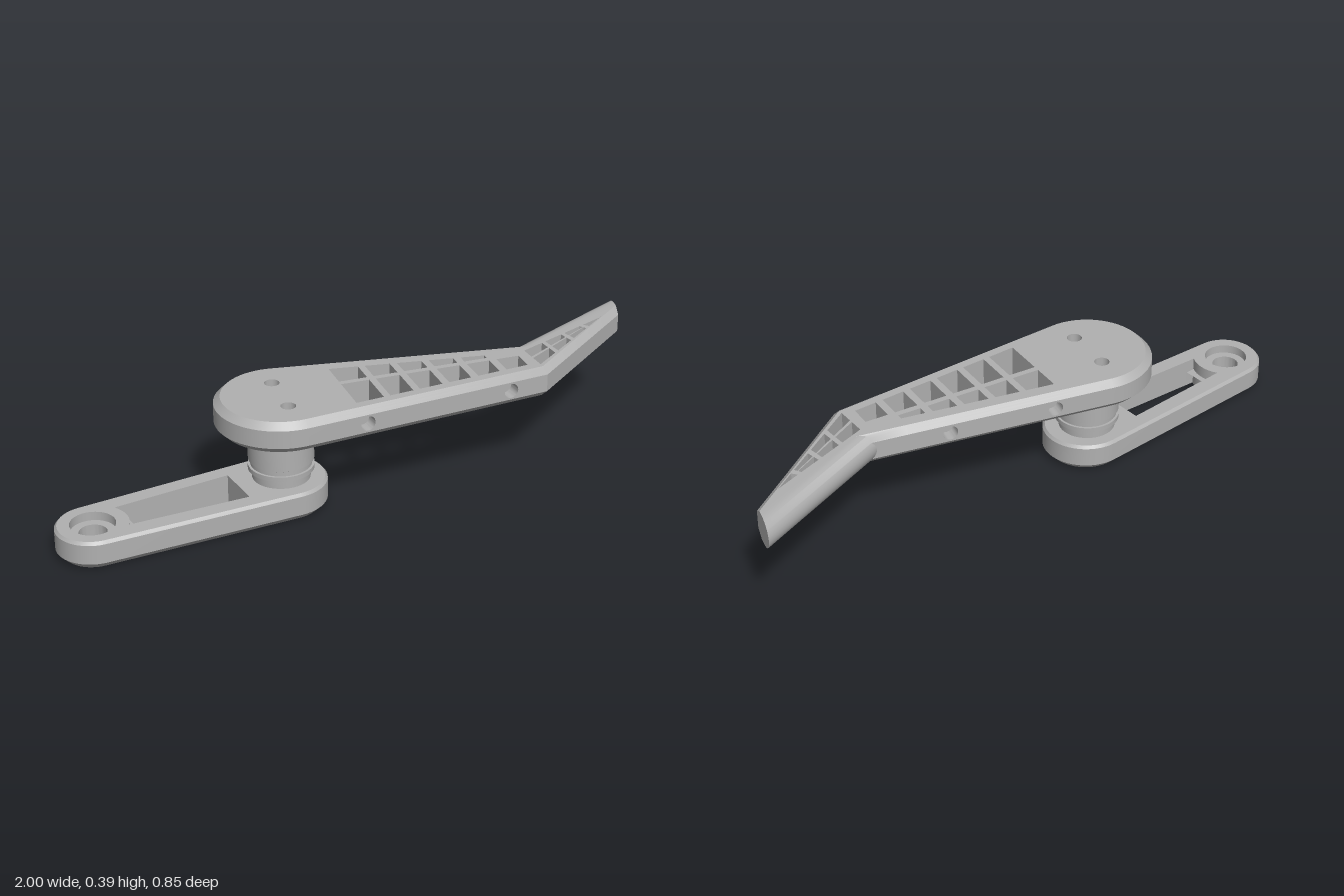
import * as THREE from 'three';
import { toCreasedNormals } from 'three/addons/utils/BufferGeometryUtils.js';

// Plan coordinates: (x, v) with v = -z; outlines run counter-clockwise seen from above.
const V = (x, z) => new THREE.Vector2(x, -z);
const to3 = (p, y) => new THREE.Vector3(p.x, y, -p.y);

function arc(c, r, a0, a1, n) {
  return Array.from({ length: n + 1 }, (_, i) => {
    const a = a0 + (a1 - a0) * i / n;
    return new THREE.Vector2(c.x + r * Math.cos(a), c.y + r * Math.sin(a));
  });
}
const circle = (c, r, n = 24) => arc(c, r, 0, Math.PI * 2 * (n - 1) / n, n - 1);

// Moves each edge inward by its own distance
function inset(pts, dist) {
  const n = pts.length;
  const normal = (i) => {
    const d = pts[(i + 1) % n].clone().sub(pts[i]).normalize();
    return new THREE.Vector2(d.y, -d.x);
  };
  return pts.map((p, i) => {
    const h = (i + n - 1) % n, a = normal(h), b = normal(i), da = -dist(h), db = -dist(i);
    const det = a.cross(b);
    if (Math.abs(det) < 1e-4) return p.clone().addScaledVector(b, db);
    return new THREE.Vector2(p.x + (da * b.y - db * a.y) / det, p.y + (a.x * db - b.x * da) / det);
  });
}

function strip(tris, a, b, skip = () => false) {
  a.forEach((p, i) => {
    if (skip(i)) return;
    const j = (i + 1) % a.length;
    tris.push(p, a[j], b[j], p, b[j], b[i]);
  });
}

function cap(tris, contour, holes, map, flip = false) {
  const all = [contour, ...holes].flat();
  for (const [a, b, c] of THREE.ShapeUtils.triangulateShape(contour, holes)) {
    const t = [a, b, c].map((k) => map(all[k]));
    tris.push(...(flip ? t.reverse() : t));
  }
}

// Solid plate: levels = [{ y, d(edge) }], through holes, and bored side walls {edge, holes}
function plate(outline, levels, holes = [], bored = [], wallY = [0, 0], boreR = 0.025) {
  const tris = [];
  const rings = levels.map((l) => inset(outline, l.d));
  const lo = levels[0].y, hi = levels[levels.length - 1].y;
  for (let k = 0; k + 1 < levels.length; k++) {
    const mid = (levels[k].y + levels[k + 1].y) / 2;
    const inWall = mid > wallY[0] && mid < wallY[1];
    strip(tris, rings[k].map((p) => to3(p, levels[k].y)), rings[k + 1].map((p) => to3(p, levels[k + 1].y)),
      (i) => inWall && bored.some((b) => b.edge === i));
  }
  cap(tris, rings[0], holes, (p) => to3(p, lo), true);
  cap(tris, rings[rings.length - 1], holes, (p) => to3(p, hi));
  for (const h of holes) {
    const r = THREE.ShapeUtils.isClockWise(h) ? h : [...h].reverse();
    strip(tris, r.map((p) => to3(p, lo)), r.map((p) => to3(p, hi)));
  }
  // flat side walls with blind screw holes
  for (const { edge, at } of bored) {
    const p = outline[edge], q = outline[(edge + 1) % outline.length];
    const d = q.clone().sub(p), len = d.length();
    d.normalize();
    const m = new THREE.Matrix4().makeBasis(new THREE.Vector3(d.x, 0, -d.y),
      new THREE.Vector3(0, 1, 0), new THREE.Vector3(d.y, 0, d.x)).setPosition(to3(p, 0));
    const put = (z) => (u) => new THREE.Vector3(u.x, u.y, z).applyMatrix4(m);
    const [y0, y1] = wallY;
    const rect = [[0, y0], [len, y0], [len, y1], [0, y1]].map((a) => new THREE.Vector2(...a));
    const bores = at.map((x) => circle(new THREE.Vector2((x - p.x) / d.x, (y0 + y1) / 2), boreR));
    cap(tris, rect, bores, put(0));
    for (const b of bores) {
      const r = [...b].reverse();
      strip(tris, r.map(put(-0.045)), r.map(put(0)));
      cap(tris, b, [], put(-0.045));
    }
  }
  const g = new THREE.BufferGeometry().setFromPoints(tris);
  return toCreasedNormals(g, 0.5);
}

// Cells of the lattice in the lever
function latticeCells() {
  const cells = [];
  const top = () => -0.04;
  const mid = (x) => 0.067 - 0.149 * (x + 0.067);
  const low = (x) => 0.21 - 0.256 * (x + 0.045);
  const quad = (l, r, f, g, a, b) => {
    const pt = (x, fn, o) => { const z = fn(x) + o; return V(x + 0.16 * (z + 0.04), z); };
    cells.push([pt(l, g, b), pt(r, g, b), pt(r, f, a), pt(l, f, a)]);
  };
  for (let i = 0; i < 6; i++) {
    const l = i ? -0.057 + 0.107 * i : -0.07, r = 0.027 + 0.106 * i;
    if (i < 5) quad(l, r, top, mid, 0, -0.01);
    quad(l, r, mid, low, 0.01, 0);
  }
  // tapering cells beside the finger grip
  const U = [V(0.59, -0.05), V(0.915, -0.255)], L = [V(0.615, 0.06), V(0.93, -0.27)];
  const pt = (t, w) => U[0].clone().lerp(U[1], t).lerp(L[0].clone().lerp(L[1], t), w);
  for (let i = 0; i < 4; i++) {
    const a = i / 4 + (i ? 0.022 : 0), b = (i + 1) / 4 - (i < 3 ? 0.022 : 0);
    const rows = i < 3 ? [[0, 0.45], [0.55, 1]] : [[0, 1]];
    for (const [u, w] of rows) cells.push([pt(a, w), pt(b, w), pt(b, u), pt(a, u)]);
  }
  return cells;
}

function lever() {
  const y0 = 0.285, y1 = 0.39, c = 0.022, r = (y1 - y0) / 2, yc = (y0 + y1) / 2;
  const tilt = 0.26, hub = V(-0.255, 0.11);
  const outline = [V(0.63, 0.095), V(1, -0.31), V(1, -0.43), V(0.555, -0.103), V(0.45, -0.103),
    ...arc(hub, 0.213, Math.PI / 2, Math.PI * 1.5 + tilt, 36)];
  const ys = [y0 + c, y1 - c];
  for (let i = 0; i <= 14; i++) ys.push(yc - r * Math.cos(Math.PI * i / 14));
  ys.sort((a, b) => a - b);
  // edge 1 is the cut tip, edge 2 the rounded grip, the rest are chamfered
  const levels = ys.map((y) => ({
    y,
    d: (e) => e === 1 ? 0
      : e === 2 ? r - Math.sqrt(Math.max(0, r * r - (y - yc) ** 2))
        : Math.max(0, y0 + c - y, y - (y1 - c)),
  }));
  const screws = [V(-0.267, 0.024), V(-0.243, 0.195)].map((p) => circle(p, 0.025));
  const bored = [{ edge: 4, at: [0.31, -0.05] }, { edge: outline.length - 1, at: [0, 0.5] }];
  return plate(outline, levels, [...screws, ...latticeCells()], bored, [y0 + c, y1 - c]);
}

export function createModel() {
  const group = new THREE.Group();
  const grey = new THREE.MeshStandardMaterial({ color: 0xb0b0b0 });
  grey.name = 'metal grey';
  const add = (name, geometry, x = 0, z = 0) => {
    const m = new THREE.Mesh(geometry, grey);
    m.name = name;
    m.position.set(x, 0, z);
    group.add(m);
  };
  const lathe = (pts) => toCreasedNormals(
    new THREE.LatheGeometry(pts.map((p) => new THREE.Vector2(...p)), 48), 0.5);

  add('lever', lever());

  // Lower link with slot, eye and screw holes
  const eye = V(-0.88, 0.305), pivot = V(-0.25, 0.11), r1 = 0.12, r2 = 0.145;
  const axis = pivot.clone().sub(eye), len = axis.length(), th = axis.angle();
  const al = Math.asin((r2 - r1) / len), q = Math.PI / 2;
  const outline = [...arc(pivot, r2, th - q - al, th + q + al, 28), ...arc(eye, r1, th + q + al, th + 3 * q - al, 28)];
  const along = (s, w) => new THREE.Vector2(s, w).rotateAround(new THREE.Vector2(), th).add(eye);
  const slot = [...arc(eye, 0.115, th - 0.55, th + 0.55, 8).reverse(), along(0.5, -0.08), along(0.5, 0.08)];
  const screws = [0, 1, 2].map((i) => circle(V(-0.255, 0.11).add(
    new THREE.Vector2(0.052, 0).rotateAround(new THREE.Vector2(), 1.9 + i * Math.PI * 2 / 3)), 0.026));
  const flat = (y, d) => ({ y, d: () => d });
  add('link', plate(outline, [flat(0, 0.024), flat(0.024, 0), flat(0.09, 0), flat(0.1, 0.008)],
    [slot, circle(eye, 0.073, 32), ...screws]));

  // Step at the end of the slot
  const step = [...arc(eye, 0.115, th + 0.5, th - 0.5, 8), along(0.135, -0.055), along(0.135, 0.055)].reverse();
  add('slotStep', plate(step, [flat(0.025, 0), flat(0.06, 0)]));

  // Ring inside the eye
  add('eyeRing', lathe([[0.045, 0.07], [0.045, 0.03], [0.074, 0.03], [0.074, 0.07], [0.045, 0.07]]), eye.x, -eye.y);

  // Stepped pivot post between link and lever
  add('pivotPost', lathe([[0, 0.1], [0.095, 0.1], [0.095, 0.132], [0.108, 0.132], [0.108, 0.148],
    [0.1, 0.148], [0.1, 0.163], [0.107, 0.167], [0.107, 0.243], [0.117, 0.247], [0.117, 0.285], [0, 0.285]]), -0.255, 0.11);

  return group;
}
